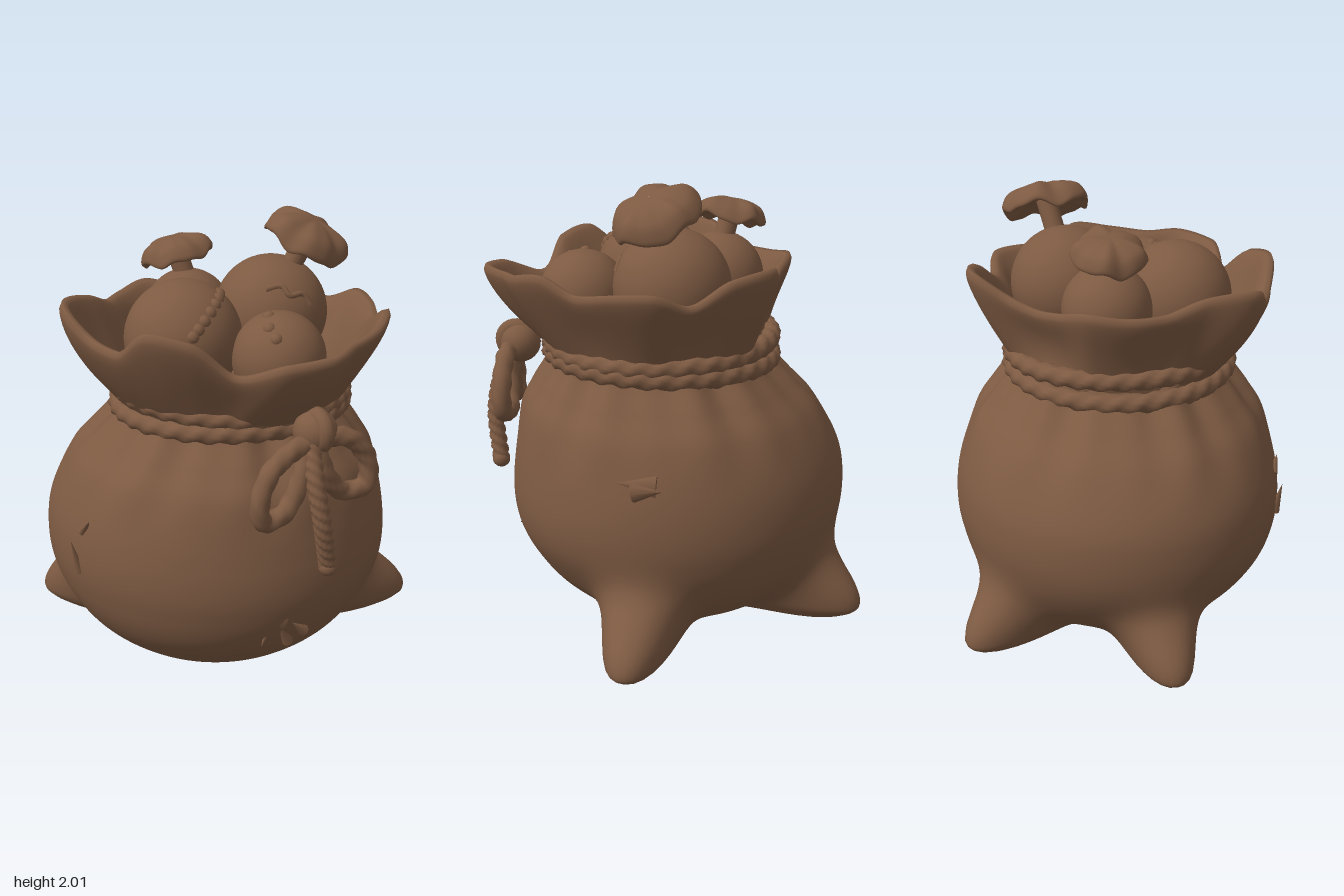
import * as THREE from 'three';
import { mergeVertices } from 'three/addons/utils/BufferGeometryUtils.js';

const TAU = Math.PI * 2;
const V = (x, y, z) => new THREE.Vector3(x, y, z);
const lerp = THREE.MathUtils.lerp, smooth = THREE.MathUtils.smoothstep;
const spline = (pts) => new THREE.SplineCurve(pts.map(([r, y]) => new THREE.Vector2(r, y)));

// Closed-ring surface: fn(v, angle) gives a point, v runs along the profile
function ringSurface(rows, cols, fn) {
  const pos = [], idx = [];
  for (let i = 0; i <= rows; i++) {
    for (let j = 0; j < cols; j++) pos.push(...fn(i / rows, (j / cols) * TAU));
  }
  for (let i = 0; i < rows; i++) {
    for (let j = 0; j < cols; j++) {
      const k = (j + 1) % cols;
      const a = i * cols + j, b = a + cols, c = i * cols + k, d = c + cols;
      idx.push(a, b, c, b, d, c);
    }
  }
  const g = new THREE.BufferGeometry();
  g.setAttribute('position', new THREE.Float32BufferAttribute(pos, 3));
  g.setIndex(idx);
  g.computeVertexNormals();
  return g;
}

// Twisted rope: a tube whose section has three lobes that spiral along the path
function ropeGeometry(points, closed, radius, turns, lobe) {
  const curve = new THREE.CatmullRomCurve3(points, closed);
  const seg = turns * 12, rad = 12;
  const g = new THREE.TubeGeometry(curve, seg, radius, rad, closed);
  const p = g.attributes.position, q = V();
  for (let i = 0; i <= seg; i++) {
    const c = curve.getPointAt(i / seg);
    for (let j = 0; j <= rad; j++) {
      const n = i * (rad + 1) + j;
      const s = 1 + lobe * Math.cos(3 * (j / rad) * TAU - (i / seg) * turns * TAU);
      q.fromBufferAttribute(p, n).sub(c).multiplyScalar(s).add(c);
      p.setXYZ(n, q.x, q.y, q.z);
    }
  }
  g.deleteAttribute('normal');
  g.deleteAttribute('uv');
  const m = mergeVertices(g, 1e-4);
  m.computeVertexNormals();
  return m;
}

export function createModel() {
  const model = new THREE.Group();
  const brown = new THREE.MeshStandardMaterial({ color: 0x7d5a42 });
  brown.name = 'brown cloth';
  const add = (geometry, name, parent = model) => {
    const m = new THREE.Mesh(geometry, brown);
    m.name = name;
    parent.add(m);
    return m;
  };
  const group = (name) => {
    const g = new THREE.Group();
    g.name = name;
    model.add(g);
    return g;
  };

  // Sack body: round profile with three blunt corners pulled out near the ground
  const profile = spline([
    [0.001, 0], [0.16, 0.01], [0.32, 0.045], [0.45, 0.1], [0.58, 0.2], [0.67, 0.31], [0.74, 0.45],
    [0.765, 0.6], [0.745, 0.78], [0.67, 0.98], [0.58, 1.1], [0.5, 1.2], [0.46, 1.28],
  ]);
  const corners = [[-0.87, 0.0], [-0.315, -0.79], [0.86, -0.48]].map(([x, z]) => ({
    angle: Math.atan2(z - 0.03, x - 0.025), reach: Math.hypot(x - 0.025, z - 0.03),
  }));
  add(ringSurface(140, 180, (v, a) => {
    const { x: r0, y } = profile.getPoint(v);
    const fold = smooth(y, 0.8, 1.2);
    let r = r0 + fold * (0.014 * Math.sin(11 * a) + 0.01 * Math.sin(17 * a + 1)), drop = 0;
    for (const c of corners) {
      const d = Math.atan2(Math.sin(a - c.angle), Math.cos(a - c.angle));
      const side = Math.exp(-Math.pow(Math.abs(d * 0.7) / 0.165, 2.2));
      const high = y > 0.14 ? Math.exp(-Math.pow((y - 0.14) / 0.2, 2.2)) : Math.sqrt(smooth(y, 0.01, 0.14));
      r += Math.max(0, c.reach - r0) * side * high;
      drop += 0.045 * side * smooth(y, 0.02, 0.08) * (1 - smooth(y, 0.08, 0.32));
    }
    const up = smooth(y, 0.7, 1.27), round = smooth(y, 0.3, 0.5) * (1 - up);
    return [lerp(0.025, 0.1, up) + r * Math.cos(a) * (1 + 0.01 * round), y - drop,
      lerp(0.03, 0.065, up) + r * Math.sin(a) * (1 - 0.022 * round)];
  }), 'sackBody');

  // Flared collar: rim radius and height every 15 degrees
  const rim = new THREE.CatmullRomCurve3([
    [0.66, 1.67], [0.67, 1.64], [0.67, 1.62], [0.75, 1.62], [0.73, 1.6], [0.62, 1.53],
    [0.66, 1.66], [0.695, 1.69], [0.68, 1.58], [0.69, 1.59], [0.755, 1.7], [0.65, 1.68],
    [0.605, 1.62], [0.62, 1.62], [0.63, 1.64], [0.56, 1.6], [0.535, 1.58], [0.575, 1.61],
    [0.685, 1.7], [0.65, 1.67], [0.6, 1.57], [0.65, 1.63], [0.63, 1.62], [0.615, 1.6],
  ].map(([r, y]) => V(r, y, 0)), true);
  add(ringSurface(56, 180, (v, a) => {
    const t = 1 - Math.abs(2 * v - 1);
    const edge = rim.getPoint(a / TAU);
    const side = v < 0.5 ? 1 : -1;
    const half = 0.03 * Math.sqrt(Math.max(0, 1 - Math.pow(t, 9))) * side;
    const r = lerp(0.44, edge.x - 0.012, Math.pow(t, 1.1)) + half
      + 0.45 * (edge.x - 0.645) * Math.sin(t * Math.PI);
    return [lerp(0.1, 0.13, t) + r * Math.cos(a), lerp(1.24, edge.y, t) - half * 0.5,
      lerp(0.065, 0.07, t) + r * Math.sin(a)];
  }), 'collar');
  add(new THREE.CylinderGeometry(0.44, 0.43, 0.04, 48), 'sackFilling').position.set(0.1, 1.33, 0.065);

  // Two twisted rope bands around the neck
  const rope = group('rope');
  for (const [y, tilt, radius] of [[1.3, 2.8, 0.487], [1.23, 0.4, 0.49]]) {
    const pts = [];
    for (let i = 0; i < 24; i++) {
      const a = (i / 24) * TAU;
      pts.push(V(0.1 + radius * Math.cos(a), y + 0.018 * Math.cos(a - tilt), 0.065 + radius * Math.sin(a)));
    }
    add(ropeGeometry(pts, true, 0.041, 32, 0.13), 'ropeBand', rope);
  }

  // Bow: knot, two loops and a hanging end
  const bow = group('bow');
  const knot = add(new THREE.SphereGeometry(0.09, 24, 16), 'knot', bow);
  knot.position.set(0.565, 1.27, 0.485);
  const wrap = add(new THREE.TorusGeometry(0.06, 0.036, 12, 28), 'knotWrap', bow);
  wrap.position.set(0.575, 1.28, 0.495);
  wrap.rotation.set(0, -0.8, 0.5);
  add(ropeGeometry([V(0.54, 1.23, 0.55), V(0.44, 1.17, 0.69), V(0.405, 1.04, 0.74), V(0.42, 0.96, 0.72),
    V(0.485, 0.98, 0.65), V(0.53, 1.1, 0.59)], true, 0.04, 9, 0.07), 'bowLoop', bow);
  add(ropeGeometry([V(0.59, 1.24, 0.51), V(0.69, 1.235, 0.43), V(0.76, 1.13, 0.37), V(0.76, 1.02, 0.37),
    V(0.68, 1, 0.43), V(0.61, 1.12, 0.51)], true, 0.04, 9, 0.07), 'bowLoop', bow);
  add(ropeGeometry([V(0.56, 1.24, 0.54), V(0.595, 1.1, 0.6), V(0.63, 0.93, 0.61), V(0.65, 0.72, 0.56)],
    false, 0.036, 12, 0.12), 'ropeEnd', bow);
  add(new THREE.SphereGeometry(0.04, 14, 10), 'ropeTip', bow).position.set(0.65, 0.715, 0.56);

  // Round contents
  const balls = group('contents');
  for (const [x, y, z, r] of [[-0.045, 1.54, 0.275, 0.248], [0.365, 1.49, 0.275, 0.195],
    [0.23, 1.565, -0.14, 0.25], [-0.13, 1.55, -0.07, 0.195]]) {
    add(new THREE.SphereGeometry(r, 40, 28), 'ball', balls).position.set(x, y, z);
  }

  // Raised seams along the balls
  const seams = group('seams');
  for (let i = 0; i < 8; i++) {
    const dir = V(0.6 - 0.02 * i, 0.8 - 0.07 * i, -0.3 + 0.17 * i).normalize().multiplyScalar(0.232);
    add(new THREE.SphereGeometry(0.029, 12, 8), 'seamBump', seams).position.copy(dir).add(V(-0.045, 1.54, 0.275));
  }
  for (const [x, y, z] of [[-0.2, 0.9, 0.15], [-0.1, 0.8, 0.55], [0.1, 0.65, 0.75]]) {
    const dir = V(x, y, z).normalize().multiplyScalar(0.18);
    add(new THREE.SphereGeometry(0.028, 12, 8), 'seamBump', seams).position.copy(dir).add(V(0.365, 1.49, 0.275));
  }
  const arc = [[0.1, 0.6, 0.8], [0.35, 0.65, 0.7], [0.5, 0.5, 0.72], [0.68, 0.5, 0.55], [0.8, 0.3, 0.5]]
    .map(([x, y, z]) => V(x, y, z).normalize().multiplyScalar(0.248).add(V(0.23, 1.565, -0.14)));
  add(new THREE.TubeGeometry(new THREE.CatmullRomCurve3(arc), 24, 0.013, 8), 'ballSeam', seams);

  // Gathered cloth tufts on stems
  const tuftProfile = spline([[0.001, -0.03], [0.08, -0.035], [0.14, -0.06], [0.172, -0.07],
    [0.176, -0.045], [0.145, 0.005], [0.075, 0.035], [0.001, 0.04]]);
  for (const t of [
    { at: V(-0.195, 1.85, -0.08), foot: V(-0.14, 1.7, -0.08), roll: 0.24, size: 0.9, waves: 5 },
    { at: V(0.39, 1.93, -0.19), foot: V(0.31, 1.76, -0.16), roll: -0.46, size: 1.06, waves: 5 },
  ]) {
    const tuft = group('tuft');
    const cap = add(ringSurface(32, 72, (v, a) => {
      const p = tuftProfile.getPoint(v);
      const w = Math.cos(t.waves * a + 0.7) + 0.5 * Math.cos(3 * a) + 0.4 * Math.cos(9 * a);
      const k = p.x * p.x * 36;
      const r = p.x * (1 + 0.025 * w);
      return [r * Math.cos(a), p.y + 0.012 * k * w, r * Math.sin(a)];
    }), 'tuftCap', tuft);
    cap.position.copy(t.at);
    cap.rotation.z = t.roll;
    cap.scale.setScalar(t.size);
    add(new THREE.TubeGeometry(new THREE.LineCurve3(t.foot, t.at), 4, 0.045, 16), 'tuftStem', tuft);
  }

  // Frayed shreds of cloth on the sack: position, length, width, turn
  const frays = group('frays');
  for (const [x, y, z, len, wide, turn] of [
    [-0.415, 0.65, 0.655, 0.16, 0.035, 0.1], [-0.36, 0.8, 0.655, 0.09, 0.04, -0.7],
    [0.45, 0.47, 0.612, 0.1, 0.13, 1.3], [0.41, 0.385, 0.607, 0.13, 0.05, 2.8],
    [0.475, 0.375, 0.57, 0.13, 0.05, 0.5], [0.535, 0.41, 0.558, 0.1, 0.05, 0.8],
    [0.65, 0.86, -0.36, 0.16, 0.1, 1.5], [0.64, 0.84, -0.41, 0.13, 0.09, -1.4],
  ]) {
    const bit = add(new THREE.ConeGeometry(0.5, 1, 8), 'fray', frays);
    bit.position.set(x, y, z);
    bit.lookAt(x * 2, y * 1.1 - 0.1, z * 2);
    bit.rotateZ(turn);
    bit.rotateX(0.15);
    bit.scale.set(wide, len, 0.05);
  }
  return model;
}
